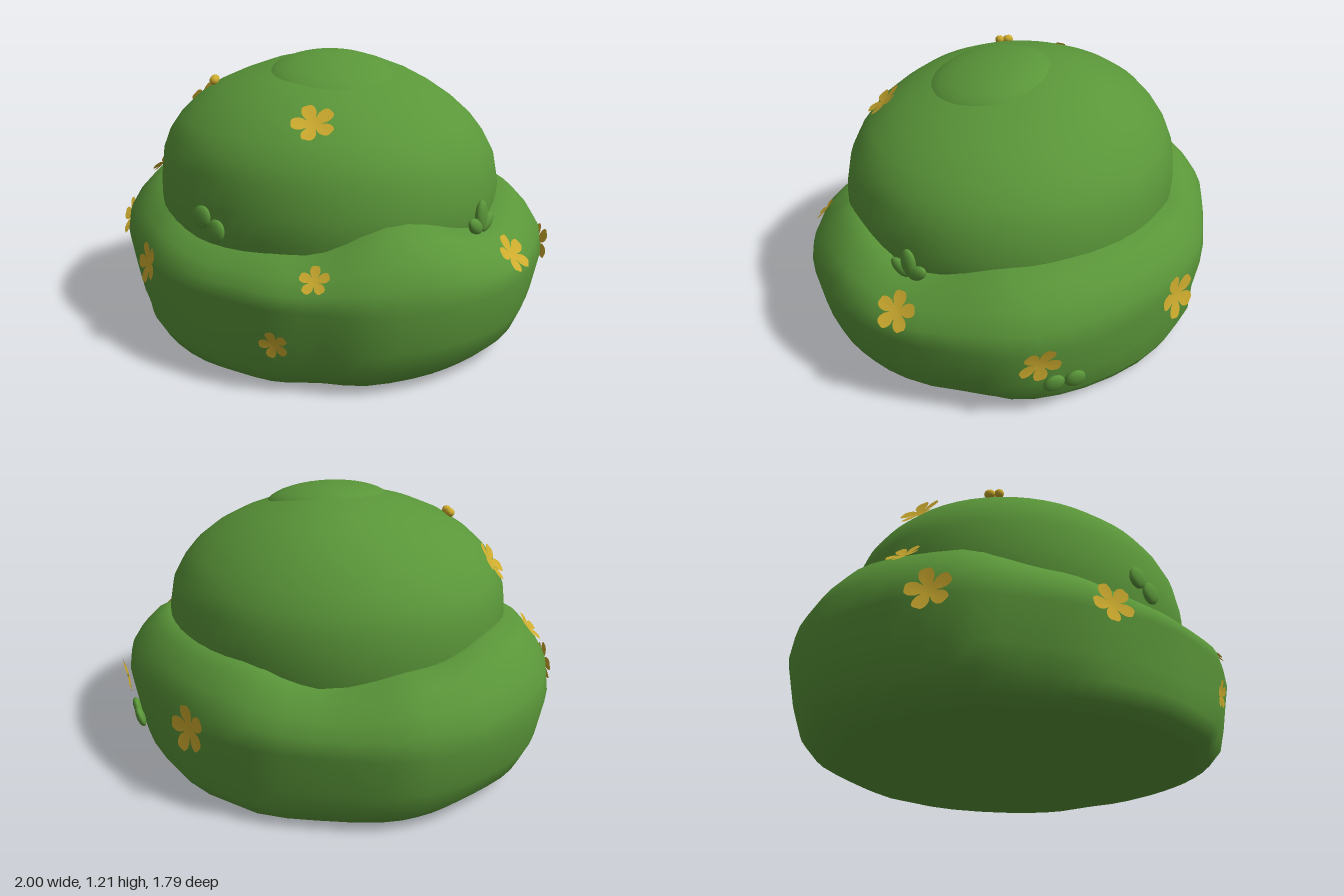
import * as THREE from 'three';

const green = new THREE.MeshStandardMaterial({ color: 0x5a9639 });
green.name = 'leafGreen';
const yellow = new THREE.MeshStandardMaterial({ color: 0xcdab2e, side: THREE.DoubleSide });
yellow.name = 'flowerYellow';

const SEG = 56;

// Smooth skin over closed rings; point(ring, t) returns [x, y, z], t in 0..1
function loft(rings, point) {
  const pos = [], idx = [];
  for (let i = 0; i < rings; i++) {
    for (let j = 0; j < SEG; j++) {
      pos.push(...point(i, j / SEG));
      if (i === rings - 1) continue;
      const a = i * SEG + j, b = i * SEG + (j + 1) % SEG;
      idx.push(a, a + SEG, b, b, a + SEG, b + SEG);
    }
  }
  const g = new THREE.BufferGeometry();
  g.setAttribute('position', new THREE.Float32BufferAttribute(pos, 3));
  g.setIndex(idx);
  g.computeVertexNormals();
  return g;
}

// Plan outline of the lower mound (x, z)
const outline = new THREE.CatmullRomCurve3([
  [0.97, 0], [0.95, 0.22], [0.88, 0.42], [0.73, 0.63], [0.55, 0.75], [0.4, 0.83], [0.2, 0.87], [0, 0.89],
  [-0.25, 0.85], [-0.42, 0.79], [-0.6, 0.7], [-0.79, 0.57], [-0.93, 0.35], [-1, 0.1], [-1, -0.1],
  [-0.94, -0.33], [-0.83, -0.5], [-0.7, -0.63], [-0.4, -0.77], [-0.1, -0.86], [0.22, -0.83],
  [0.55, -0.7], [0.78, -0.52], [0.9, -0.3],
].map(([x, z]) => new THREE.Vector3(x, 0, z)), true);

// Height of the wavy rim every 30 degrees, starting at +x
const rim = [0.56, 0.65, 0.54, 0.53, 0.59, 0.66, 0.7, 0.64, 0.57, 0.64, 0.65, 0.64];
function rimHeight(t) {
  const f = t * rim.length, i = Math.floor(f), k = f - i;
  const s = k * k * (3 - 2 * k);
  return rim[i % rim.length] * (1 - s) + rim[(i + 1) % rim.length] * s;
}

// Lower mound: [height, scale] below the belly, [share of rim height, scale] above it
const lower = [[0, 0.78], [0.025, 0.855], [0.09, 0.925], [0.19, 0.97], [0.36, 1]];
const upper = [[0.33, 0.985], [0.6, 0.935], [0.85, 0.865], [1, 0.79], [0.93, 0.7]];
function moundPoint(i, t) {
  const p = outline.getPoint(t);
  const a = Math.atan2(p.z, p.x);
  const angle = (a / (2 * Math.PI) + 1) % 1;
  let y, s;
  if (i < lower.length) {
    [y, s] = lower[i];
    s += 0.09 * Math.sin(a) ** 2 * Math.max(0, 1 - y / 0.19);
    // shallow folds near the foot
    s -= 0.02 * Math.max(0, Math.cos(5 * a + 1.6)) ** 4 * (1 - y / 0.36);
  } else {
    const [k, scale] = upper[i - lower.length];
    y = 0.36 + (rimHeight(angle) - 0.36) * k;
    s = scale;
  }
  return [p.x * s, y, p.z * s];
}

// Dome rings: y, left, right, back, front
const domeRings = [
  [0.42, -0.74, 0.74, -0.66, 0.74], [0.56, -0.765, 0.765, -0.68, 0.765], [0.66, -0.775, 0.77, -0.685, 0.76],
  [0.78, -0.765, 0.745, -0.67, 0.74], [0.86, -0.735, 0.7, -0.635, 0.705], [0.93, -0.685, 0.64, -0.59, 0.655],
  [1.0, -0.615, 0.55, -0.525, 0.575], [1.06, -0.52, 0.44, -0.455, 0.49], [1.11, -0.41, 0.32, -0.375, 0.38],
  [1.155, -0.29, 0.17, -0.27, 0.23], [1.175, -0.18, 0.06, -0.16, 0.1], [1.18, -0.061, -0.059, -0.031, -0.029],
];
function domePoint(i, t) {
  const [y, l, r, b, f] = domeRings[i], a = t * Math.PI * 2;
  return [(l + r) / 2 + (r - l) / 2 * Math.cos(a), y, (b + f) / 2 + (f - b) / 2 * Math.sin(a)];
}

// Five-petalled blossom, slightly cupped, facing +z
function flowerGeometry(R) {
  const pts = [];
  for (let i = 0; i < 80; i++) {
    const a = i / 80 * Math.PI * 2;
    const c = Math.abs(Math.cos(2.5 * a));
    const r = R * (0.3 + 0.72 * Math.pow(c, 0.6) - 0.07 * Math.pow(c, 14));
    pts.push(new THREE.Vector2(r * Math.sin(a), r * Math.cos(a)));
  }
  const g = new THREE.ShapeGeometry(new THREE.Shape(pts));
  const p = g.attributes.position;
  for (let i = 0; i < p.count; i++) p.setZ(i, 0.15 * Math.hypot(p.getX(i), p.getY(i)));
  g.computeVertexNormals();
  return g;
}

export function createModel() {
  const group = new THREE.Group();
  const add = (parent, name, geo, mat) => {
    const m = new THREE.Mesh(geo, mat);
    m.name = name;
    parent.add(m);
    return m;
  };

  // Bush body
  const mound = add(group, 'lowerMound', loft(lower.length + upper.length, moundPoint), green);
  const dome = add(group, 'upperDome', loft(domeRings.length, domePoint), green);
  add(group, 'underside', loft(2, (i, t) => {
    const [x, , z] = moundPoint(0, t);
    return i ? [x, 0, z] : [x * 0.001, 0, z * 0.001];
  }), green);
  const crown = add(group, 'crown', new THREE.SphereGeometry(1, 40, 20), green);
  crown.scale.set(0.285, 0.1, 0.285);
  crown.position.set(0.075, 1.095, 0.1);
  crown.rotation.set(0.14, 0, -0.14);

  // Seat an object on the surface nearest a given point, its +z along the surface normal
  const ray = new THREE.Raycaster();
  const core = new THREE.Vector3(0, 0.35, 0);
  function seat(obj, [x, y, z], lift, spin) {
    const dir = new THREE.Vector3(x, y, z).sub(core).normalize();
    ray.set(core.clone().addScaledVector(dir, 3), dir.clone().negate());
    const hit = ray.intersectObjects([mound, dome])[0];
    const n = hit ? hit.face.normal : dir;
    const at = hit ? hit.point : new THREE.Vector3(x, y, z);
    obj.position.copy(at).addScaledVector(n, lift);
    obj.lookAt(obj.position.clone().add(n));
    obj.rotateZ(spin);
  }

  // Flowers: position, radius, spin
  [
    [[-0.28, 0.38, 0.85], 0.09, 0.5], [[-0.85, 0.37, 0.5], 0.095, 0.2], [[0.53, 0.47, 0.72], 0.062, 0.1],
    [[0.41, 0.22, 0.82], 0.062, 0.3], [[0.32, 1.0, 0.49], 0.092, 0.4], [[-0.68, 0.92, 0.18], 0.095, 0.2],
    [[-0.87, 0.61, 0.32], 0.075, 0.6], [[0.14, 0.37, -0.86], 0.105, 0.3], [[0.75, 0.33, -0.55], 0.092, 0.7],
    [[0.96, 0.47, -0.01], 0.088, 0],
  ].forEach(([p, r, spin], i) => seat(add(group, 'flower' + (i + 1), flowerGeometry(r), yellow), p, 0.012, spin));

  // Leaf or petal lobes fanned out from a common base, in the XY plane
  function lobes(name, mat, list) {
    const g = new THREE.Group();
    g.name = name;
    group.add(g);
    for (const [angle, length, width] of list) {
      const m = add(g, 'lobe', new THREE.SphereGeometry(1, 16, 12), mat);
      m.scale.set(width, length / 2, 0.02);
      m.position.set(-Math.sin(angle) * length / 2, Math.cos(angle) * length / 2, 0);
      m.rotation.z = angle;
    }
    return g;
  }

  // Half-open bud on the dome
  seat(lobes('flowerBud', yellow, [[1.2, 0.05, 0.022], [-1.0, 0.04, 0.022]]), [-0.41, 1.05, 0.34], 0.015, 0);

  // Leaf pairs and upright sprout
  const pair = [[1.3, 0.09, 0.05], [-1.7, 0.09, 0.05]];
  seat(lobes('frontLeaves', green, pair), [0.01, 0.6, 0.78], 0.01, -0.3);
  seat(lobes('backLeaves', green, pair), [0.64, 0.19, -0.6], 0.015, 0.2);
  const sprout = lobes('sprout', green, [[0, 0.13, 0.035], [0.95, 0.1, 0.03], [-0.95, 0.1, 0.03]]);
  sprout.position.set(0.8, 0.55, 0.02);
  sprout.rotation.set(0, Math.PI / 2, 0);

  return group;
}
